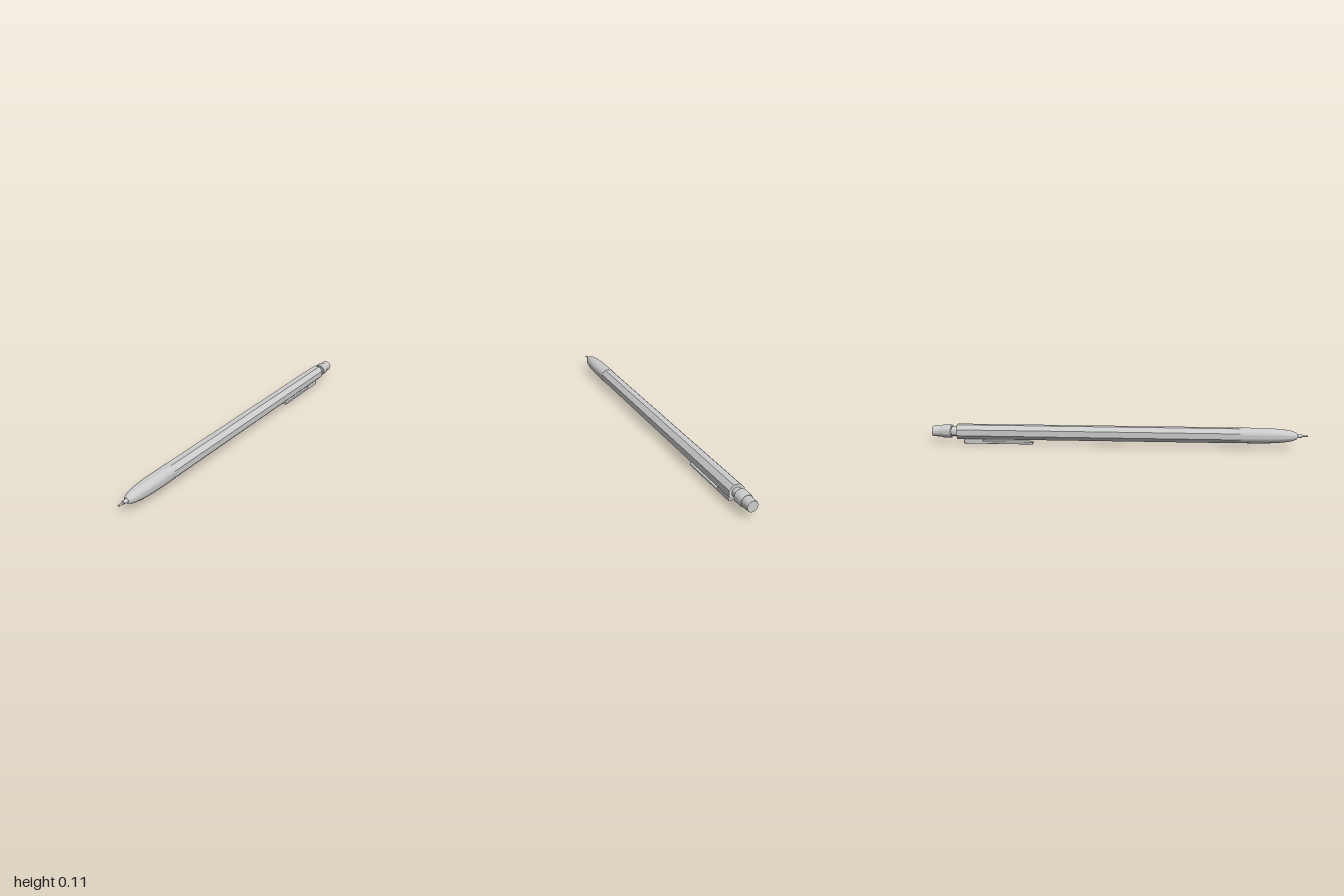
import * as THREE from 'three';
import { RoundedBoxGeometry } from 'three/addons/geometries/RoundedBoxGeometry.js';
import { toCreasedNormals } from 'three/addons/utils/BufferGeometryUtils.js';

const AXIS_Y = 0.064; // height of the pencil's centre line

export function createModel() {
  const group = new THREE.Group();
  group.name = 'mechanicalPencil';
  const material = new THREE.MeshStandardMaterial({ color: 0xcccccc });

  function add(name, geometry, x, y, z) {
    const mesh = new THREE.Mesh(geometry, material);
    mesh.name = name;
    mesh.position.set(x, y, z);
    group.add(mesh);
    return mesh;
  }

  // Turned part along z; profile is [radius, z] from back to front
  function turned(name, profile, segments = 32) {
    const points = profile.map(([r, z]) => new THREE.Vector2(r, z));
    const geometry = new THREE.LatheGeometry(points, segments).rotateX(Math.PI / 2);
    return add(name, toCreasedNormals(geometry, 0.5), 0, AXIS_Y, 0);
  }

  // Octagonal barrel with a flat side up
  const barrel = new THREE.CylinderGeometry(0.042, 0.042, 1.51, 8)
    .rotateY(Math.PI / 8)
    .rotateX(Math.PI / 2);
  add('barrel', toCreasedNormals(barrel, 0.3), 0, AXIS_Y, -0.11);

  // Rounded nose cone
  const nose = [[0, 0.63], [0.041, 0.63], [0.041, 0.69]];
  for (let i = 1; i <= 12; i++) {
    const t = i / 12;
    nose.push([0.013 + 0.028 * Math.sqrt(1 - 0.97 * t ** 2.6), 0.69 + 0.25 * t]);
  }
  nose.push([0.012, 0.945], [0, 0.945]);
  turned('noseCone', nose);

  // Stepped tip and lead
  turned('tip', [[0, 0.935], [0.012, 0.935], [0.008, 0.968], [0, 0.968]], 24);
  turned('leadSleeve', [[0, 0.96], [0.0045, 0.96], [0.0045, 0.998], [0.003, 1], [0, 1]], 16);

  // Push button at the back
  turned('buttonNeck', [[0, -0.91], [0.025, -0.91], [0.025, -0.86], [0, -0.86]]);
  turned('buttonCollar', [
    [0, -0.952], [0.031, -0.952], [0.034, -0.945], [0.035, -0.898], [0.033, -0.895], [0, -0.895],
  ]);
  turned('eraser', [[0, -1], [0.027, -1], [0.029, -0.997], [0.029, -0.945], [0, -0.945]]);

  // Pocket clip under the barrel
  add('clipMount', new RoundedBoxGeometry(0.034, 0.034, 0.105, 2, 0.004), 0, 0.017, -0.7775);
  add('clipArm', new RoundedBoxGeometry(0.034, 0.014, 0.375, 2, 0.004), 0, 0.007, -0.6425);

  return group;
}
